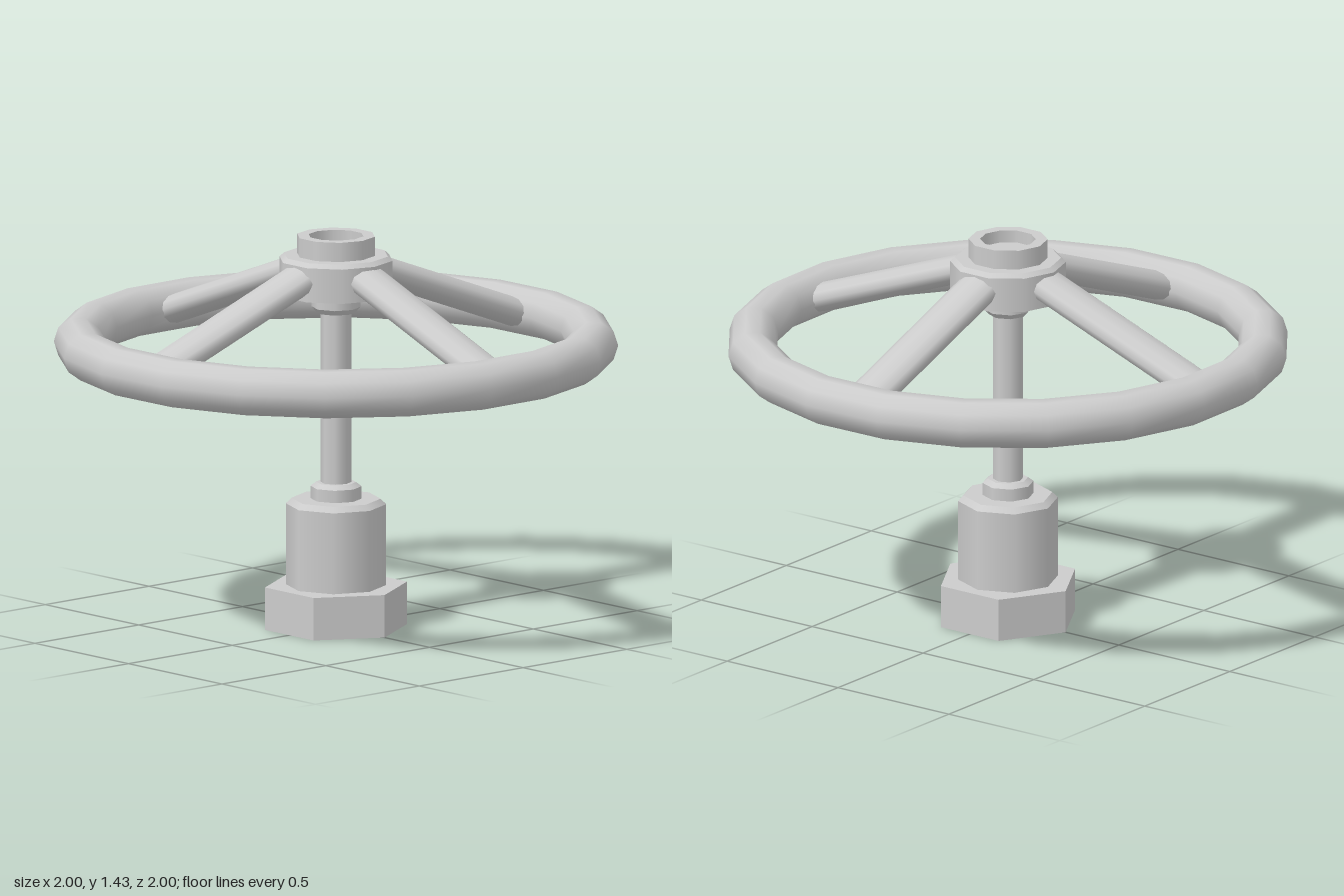
import * as THREE from 'three';
import { mergeGeometries } from 'three/addons/utils/BufferGeometryUtils.js';

const material = new THREE.MeshStandardMaterial({ color: 0xcccccc });
const openMaterial = new THREE.MeshStandardMaterial({ color: 0xcccccc, side: THREE.DoubleSide });

// Turned part: smooth around the axis, sharp at every corner of the profile.
function turned(profile, sides) {
  const bands = [];
  for (let i = 0; i < profile.length - 1; i++) {
    const pair = [profile[i], profile[i + 1]].map(([r, y]) => new THREE.Vector2(r, y));
    bands.push(new THREE.LatheGeometry(pair, sides, Math.PI / 2));
  }
  return mergeGeometries(bands);
}

export function createModel() {
  const group = new THREE.Group();
  const add = (name, geometry, mat = material) => {
    const mesh = new THREE.Mesh(geometry, mat);
    mesh.name = name;
    group.add(mesh);
    return mesh;
  };

  // Hexagonal base nut, hollow underneath
  const hexMaterial = openMaterial.clone();
  hexMaterial.flatShading = true;
  add('hexNut', turned([[0.26, 0], [0.26, 0.155], [0, 0.155]], 6), hexMaterial);

  // Bonnet with chamfered shoulder
  add('bonnet', turned([[0.18, 0.155], [0.18, 0.45], [0.16, 0.47], [0, 0.47]], 8));

  // Gland collar around the stem
  add('gland', turned([[0.092, 0.47], [0.092, 0.515], [0.072, 0.53], [0, 0.53]], 8));

  // Stem
  add('stem', turned([[0.055, 0.5], [0.055, 1.24]], 8));

  // Collar under the hub
  add('hubCollar', turned([[0, 1.15], [0.07, 1.15], [0.088, 1.17], [0.088, 1.23]], 8));

  // Hub with raised boss and a shallow recess on top
  add('hub', turned([
    [0, 1.22], [0.207, 1.22], [0.207, 1.345], [0.19, 1.36], [0.142, 1.36],
    [0.142, 1.43], [0.1, 1.43], [0.1, 1.385], [0, 1.385],
  ], 10));

  // Rim
  const rim = new THREE.TorusGeometry(0.923, 0.088, 10, 20);
  rim.rotateZ(THREE.MathUtils.degToRad(8.3));
  rim.rotateX(Math.PI / 2);
  rim.translate(0, 1.035, 0);
  add('rim', rim);

  // Four flattened spokes sloping from hub to rim
  [1.2, 91, 179.5, 270].forEach((degrees, i) => {
    const spoke = new THREE.CylinderGeometry(1, 1, 0.832, 12, 1);
    spoke.scale(0.052, 1, 0.084);
    spoke.rotateZ(-Math.PI / 2 - 0.357);
    spoke.translate(0.51, 1.165, 0);
    spoke.rotateY(-THREE.MathUtils.degToRad(degrees));
    add('spoke' + (i + 1), spoke);
  });

  return group;
}
